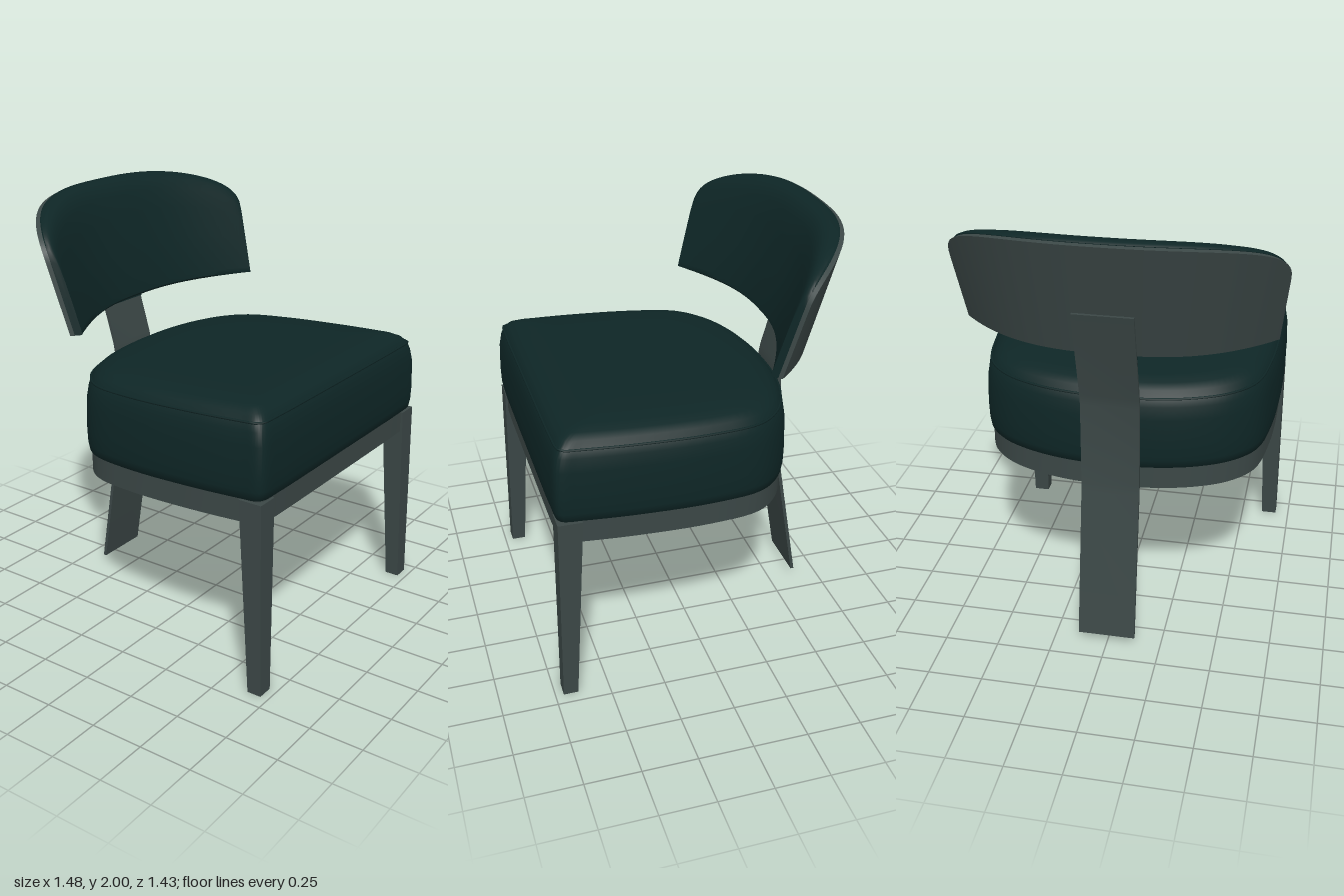
import * as THREE from 'three';
import { toCreasedNormals } from 'three/addons/utils/BufferGeometryUtils.js';

const fabric = new THREE.MeshStandardMaterial({ color: 0x0e2626 });
fabric.name = 'dark green fabric';
const metal = new THREE.MeshStandardMaterial({ color: 0x3b4746 });
metal.name = 'dark grey frame';

const V = (x, y, z) => new THREE.Vector3(x, y, z);

// Closed solid through a list of equal-length rings, capped at both ends
function loft(rings, crease = 0.6) {
  const n = rings[0].length, pos = [], idx = [];
  rings.forEach(r => r.forEach(p => pos.push(p.x, p.y, p.z)));
  for (let i = 0; i < rings.length - 1; i++)
    for (let j = 0; j < n; j++) {
      const a = i * n + j, b = i * n + (j + 1) % n;
      idx.push(a, b, b + n, a, b + n, a + n);
    }
  [0, rings.length - 1].forEach((r, end) => {
    const c = pos.length / 3;
    const mid = rings[r].reduce((s, p) => s.add(p), V(0, 0, 0)).divideScalar(n);
    pos.push(mid.x, mid.y, mid.z);
    for (let j = 0; j < n; j++) {
      const a = r * n + j, b = r * n + (j + 1) % n;
      end ? idx.push(c, a, b) : idx.push(c, b, a);
    }
  });
  // Turn the faces outward when the enclosed volume is negative
  const at = i => V(pos[3 * i], pos[3 * i + 1], pos[3 * i + 2]);
  let vol = 0;
  for (let i = 0; i < idx.length; i += 3)
    vol += at(idx[i]).dot(at(idx[i + 1]).cross(at(idx[i + 2])));
  if (vol < 0) idx.reverse();
  const g = new THREE.BufferGeometry();
  g.setAttribute('position', new THREE.Float32BufferAttribute(pos, 3));
  g.setIndex(idx);
  return toCreasedNormals(g, crease);
}

function add(parent, name, geometry, material) {
  const m = new THREE.Mesh(geometry, material);
  m.name = name;
  parent.add(m);
  return m;
}

// Seat plan: straight front, gently bowed sides, rounded back
const half = [[0.3, 0.71], [0.55, 0.708], [0.665, 0.7], [0.685, 0.68], [0.692, 0.6], [0.7, 0.35],
  [0.685, 0], [0.635, -0.24], [0.53, -0.36], [0.38, -0.435], [0.2, -0.478]];
const planPoints = [[0, 0.71], ...half, [0, -0.49], ...half.slice().reverse().map(([x, z]) => [-x, z])];
const plan = new THREE.CatmullRomCurve3(planPoints.map(([x, z]) => V(x, 0, z)), true, 'centripetal')
  .getPoints(120).slice(0, -1);

// Plan pulled inward and lifted above the sloping seat base
const seatRing = ([inset, h]) => plan.map(p => {
  const z = 0.1 + (p.z - 0.1) * (1 - inset / 0.6);
  return V(p.x * (1 - inset / 0.7), 0.91 - 0.042 * (0.7 - z) + h, z);
});

// Backrest: bowed in plan, leaning back, with rounded top corners
const thickness = u => 0.145 - 0.09 * Math.abs(u) ** 4;
function backPoint(u, t, v) {
  const a = Math.abs(u);
  const top = 1.78 + 0.22 * Math.max(0, 1 - a ** 3) ** 0.4;
  const y = 1.46 + v * (top - 1.46);
  const slope = 1.096 * a ** 1.6, len = Math.hypot(1, slope);
  const x = (0.7 * a - t * slope / len) * (1 + 0.17 * (y - 1.46));
  const z = -0.575 + 0.295 * a ** 2.6 + t / len - 0.27 * (y - 1.46);
  return V(Math.sign(u) * x, y, z);
}
function backSolid(profile) {
  const rings = [];
  for (let i = 0; i <= 48; i++) {
    const u = Math.sin((i / 24 - 1) * Math.PI / 2);
    rings.push(profile(u).map(([t, v]) => backPoint(u, t, v)));
  }
  return loft(rings, 0.7);
}

export function createModel() {
  const chair = new THREE.Group();
  chair.name = 'chair';
  const base = new THREE.Group();
  base.name = 'seatAndLegs';
  base.position.x = 0.006;
  chair.add(base);

  // Upholstered seat with a softly crowned top
  const layers = [[0.025, 0], [0.008, 0.012], [0.002, 0.05], [0, 0.12], [0.004, 0.25], [0.014, 0.31],
    [0.028, 0.348], [0.05, 0.374], [0.085, 0.393], [0.14, 0.405], [0.25, 0.412], [0.42, 0.414]];
  add(base, 'seatCushion', loft(layers.map(seatRing), 0.9), fabric);
  const seam = new THREE.CatmullRomCurve3(seatRing([0.025, 0.345]), true);
  add(base, 'seatPiping', new THREE.TubeGeometry(seam, 160, 0.006, 6, true), fabric);

  // Solid apron under the seat
  add(base, 'seatApron', loft([[0.018, -0.1], [0.018, 0.008]].map(seatRing)), metal);

  // Tapered front legs
  for (const s of [-1, 1]) {
    const ring = (y, inner, outer, zBack, zFront) =>
      [V(s * inner, y, zBack), V(s * outer, y, zBack), V(s * outer, y, zFront), V(s * inner, y, zFront)];
    add(base, s > 0 ? 'leftFrontLeg' : 'rightFrontLeg',
      loft([ring(0, 0.613, 0.688, 0.645, 0.712), ring(0.91, 0.585, 0.688, 0.59, 0.7)]), metal);
  }

  // Bent flat bar: rear leg and backrest support in one
  const bar = [[0.037, -0.626], [0.74, -0.512], [0.79, -0.507], [1.18, -0.504], [1.23, -0.513], [1.66, -0.636]];
  add(chair, 'rearBar', loft(bar.map(([y, z]) => [
    V(-0.129, y, z - 0.008), V(0.136, y, z - 0.008), V(0.136, y, z + 0.008), V(-0.129, y, z + 0.008)])), metal);

  // Thin fabric facing on the bar just below the backrest
  add(chair, 'barFacing', loft([[1.41, -0.5545], [1.47, -0.5715]].map(([y, z]) => [
    V(-0.129, y, z - 0.003), V(0.136, y, z - 0.003), V(0.136, y, z + 0.003), V(-0.129, y, z + 0.003)])), fabric);

  // Backrest shell and its cushion
  add(chair, 'backrestShell', backSolid(() => [[0, 0], [0.02, 0], [0.02, 0.5], [0.02, 0.975],
    [0, 0.965], [0, 0.5]]), metal);
  add(chair, 'backrestCushion', backSolid(u => [[0, 0.004], [0.5, 0], [0.88, 0.006], [0.97, 0.025], [1, 0.07],
    [1, 0.4], [0.97, 0.7], [0.9, 0.87], [0.78, 0.95], [0.6, 0.985], [0.35, 1], [0.1, 0.995], [0, 0.98], [0, 0.5]]
    .map(([f, v]) => [0.02 + f * (thickness(u) - 0.02), v])), fabric);

  return chair;
}
